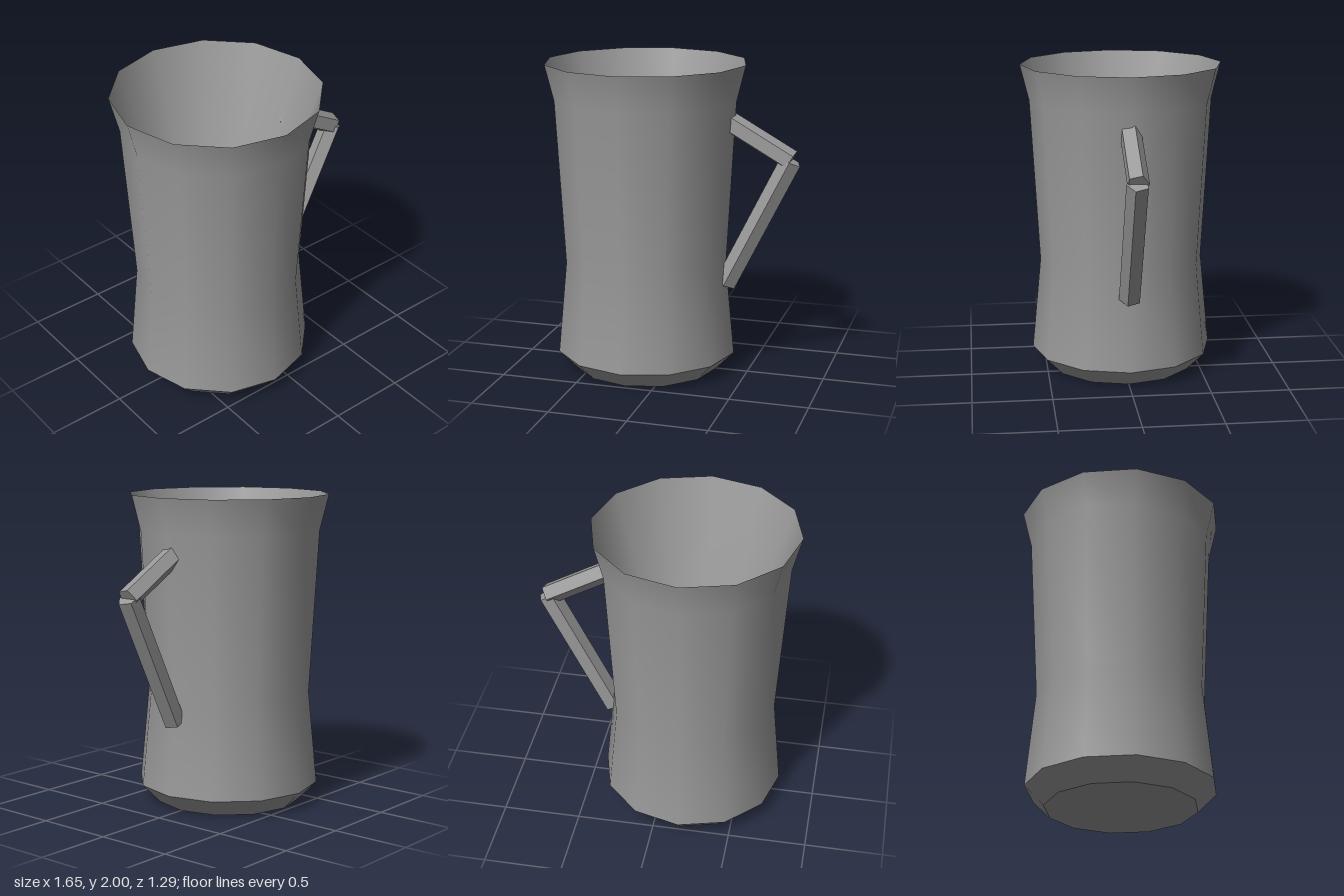
import * as THREE from 'three';
import { mergeVertices } from 'three/addons/utils/BufferGeometryUtils.js';

const SIDES = 12;

export function createModel() {
  const grey = new THREE.MeshStandardMaterial({ color: 0x999999 });
  grey.name = 'grey';
  const flatGrey = grey.clone();
  flatGrey.flatShading = true;

  const model = new THREE.Group();
  model.name = 'mug';

  // The cup sits off centre to leave room for the handle
  const cup = new THREE.Group();
  cup.name = 'cup';
  cup.position.x = -0.18;
  model.add(cup);

  const add = (parent, name, geometry, material = grey) => {
    const mesh = new THREE.Mesh(geometry, material);
    mesh.name = name;
    parent.add(mesh);
    return mesh;
  };
  const lathe = (points) =>
    new THREE.LatheGeometry(points.map(([r, y]) => new THREE.Vector2(r, y)), SIDES);

  // Waisted outer wall with a flared rim, and the bevelled foot below it
  add(cup, 'outerWall', lathe([[0.588, 0.12], [0.53, 0.72], [0.588, 1.77], [0.645, 2]]));
  add(cup, 'footBevel', lathe([[0.47, 0], [0.588, 0.12]]));
  add(cup, 'base', new THREE.CircleGeometry(0.47, SIDES).rotateX(Math.PI / 2));

  // Hollow: a smooth funnel from the rim down to one point
  let hollow = new THREE.CircleGeometry(0.645, SIDES).rotateX(-Math.PI / 2).translate(0, 2, 0);
  hollow.attributes.position.setY(0, 0.12);
  hollow.deleteAttribute('uv');
  hollow.deleteAttribute('normal');
  hollow = mergeVertices(hollow);
  hollow.computeVertexNormals();
  add(cup, 'hollow', hollow);

  // Handle: two five-sided bars meeting at an elbow
  const handle = new THREE.Group();
  handle.name = 'handle';
  model.add(handle);
  const bar = (name, [x1, y1], [x2, y2], twist) => {
    const length = Math.hypot(x2 - x1, y2 - y1);
    const mesh = add(handle, name,
      new THREE.CylinderGeometry(0.07, 0.07, length, 5, 1, false, twist), flatGrey);
    mesh.position.set((x1 + x2) / 2, (y1 + y2) / 2, 0);
    mesh.rotation.z = -Math.atan2(x2 - x1, y2 - y1);
  };
  const elbow = [0.76, 1.417];
  bar('upperHandleBar', [0.35, 1.648], elbow, Math.PI - 0.05);
  bar('lowerHandleBar', [0.35, 0.59], elbow, 0.02);

  return model;
}
